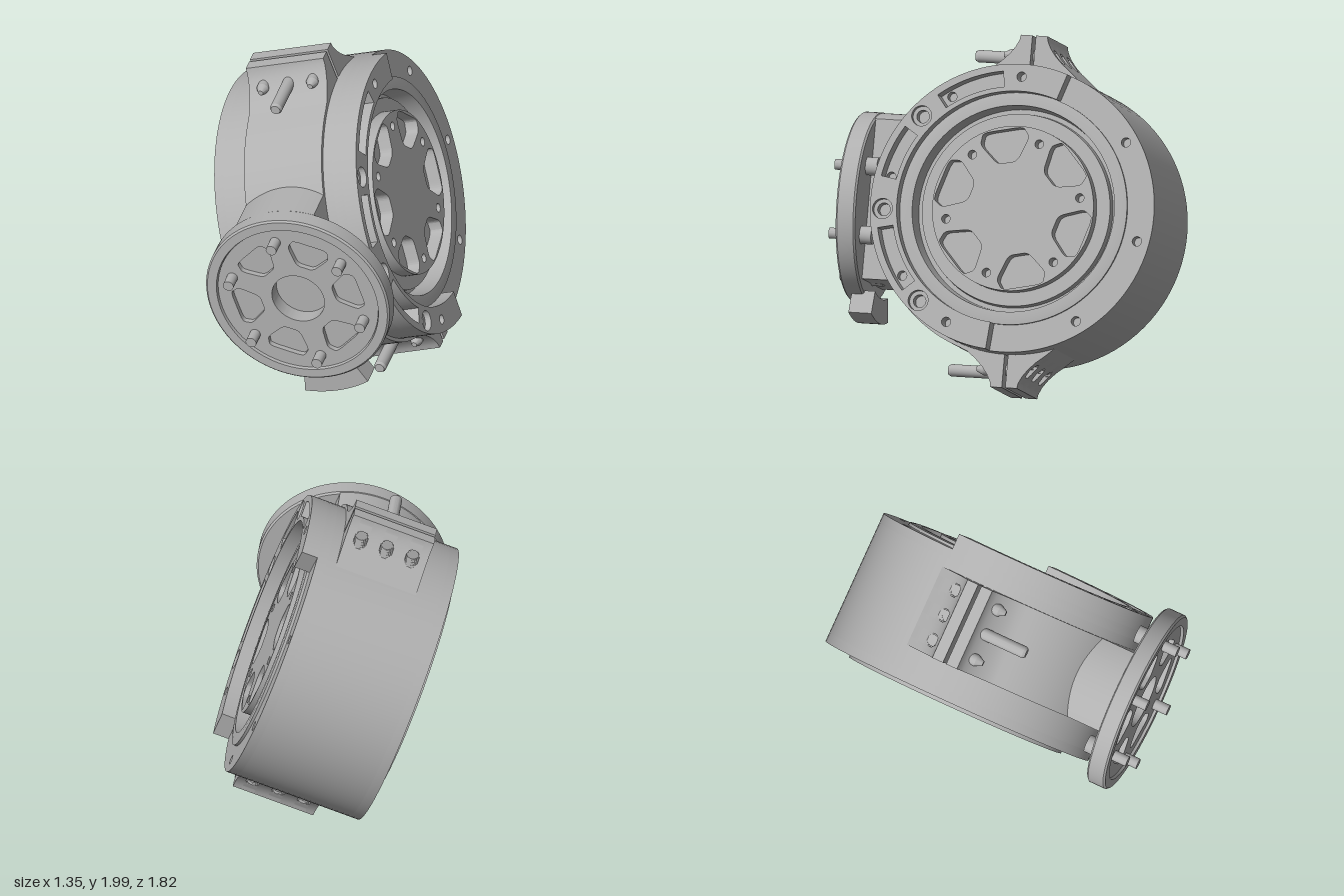
import * as THREE from 'three';
import { toCreasedNormals } from 'three/addons/utils/BufferGeometryUtils.js';

const rad = THREE.MathUtils.degToRad;
const metal = new THREE.MeshStandardMaterial({ color: 0xb0b0b0 });
metal.name = 'grey metal';

function add(parent, name, geometry) {
  const mesh = new THREE.Mesh(toCreasedNormals(geometry, 0.5), metal);
  mesh.name = name;
  parent.add(mesh);
}

// Extrude along z from z0 to z1
function slab(shape, z0, z1) {
  const g = new THREE.ExtrudeGeometry(shape, { depth: z1 - z0, bevelEnabled: false, curveSegments: 48 });
  return g.translate(0, 0, z0);
}

// Extrude along x from x0 to x1; the shape's x becomes z, its y stays y
function sideSlab(shape, x0, x1) {
  return slab(shape, -x1, -x0).rotateY(-Math.PI / 2);
}

function disc(r, holes = []) {
  const s = new THREE.Shape().absarc(0, 0, r, 0, Math.PI * 2, false);
  s.holes.push(...holes);
  return s;
}

function hole(r, at = 0, deg = 0) {
  const a = rad(deg);
  return new THREE.Path().absarc(at * Math.cos(a), at * Math.sin(a), r, 0, Math.PI * 2, true);
}

// Ring sector between two angles in degrees
function sector(r0, r1, a0, a1, Kind = THREE.Shape) {
  return new Kind()
    .absarc(0, 0, r1, rad(a0), rad(a1), false)
    .absarc(0, 0, r0, rad(a1), rad(a0), true)
    .closePath();
}

// Rounded trapezoid pocket pointing along an angle
function pocket(deg, k) {
  const corners = [[0.255, -0.055], [0.375, -0.138], [0.438, -0.115], [0.438, 0.115], [0.375, 0.138], [0.255, 0.055]]
    .map(([x, y]) => new THREE.Vector2(x * k, y * k).rotateAround(new THREE.Vector2(), rad(deg)));
  const path = new THREE.Path();
  corners.forEach((c, i) => {
    const before = c.clone().lerp(corners[(i + 5) % 6], 0.25);
    const after = c.clone().lerp(corners[(i + 1) % 6], 0.25);
    if (i) path.lineTo(before.x, before.y); else path.moveTo(before.x, before.y);
    path.quadraticCurveTo(c.x, c.y, after.x, after.y);
  });
  return path.closePath();
}

function pin(parent, name, r, x, y, z0, z1, tip = r) {
  const g = new THREE.CylinderGeometry(tip, r, z1 - z0, 24).rotateX(Math.PI / 2);
  add(parent, name, g.translate(x, y, (z0 + z1) / 2));
}

const six = [0, 60, 120, 180, 240, 300];
const FLANGE = 0.973, WIDTH = 0.235, BOLT_Y = 0.868;
// Clamp flare: distance from the split plane, height
const flare = [[0.075, FLANGE], [0.08, 0.945], [0.1, 0.905], [0.13, 0.865], [0.17, 0.825], [0.22, 0.785], [0.31, 0.705]];

function buildDrum(g) {
  // Turned housing with raised back lid and stepped groove at the output
  const profile = [[0, -0.45], [0.637, -0.45], [0.637, -0.37], [0.79, -0.37], [0.79, 0.29], [0.64, 0.29],
    [0.64, 0.36], [0.61, 0.365], [0.57, 0.365], [0.56, 0.25], [0.535, 0.25], [0.53, 0.3], [0, 0.3]];
  const body = new THREE.LatheGeometry(profile.map(p => new THREE.Vector2(...p)), 96);
  add(g, 'drumHousing', body.rotateZ(-Math.PI / 2));

  const boltAngles = [11, 56, 101, 146, 191, 236, 281, 326];
  const rim = () => disc(0.79, [hole(0.637), ...boltAngles.map(a => hole(0.026, 0.72, a))]);
  add(g, 'backRim', sideSlab(rim(), -0.425, -0.37));
  add(g, 'outputRim', sideSlab(rim(), 0.29, 0.345));

  // Output rotor with six pockets and six bolt holes
  const rotor = disc(0.455, six.flatMap(a => [pocket(a + 18, 1), hole(0.024, 0.38, a + 48)]));
  add(g, 'rotor', sideSlab(rotor, 0.29, 0.375));

  // Half ring with slots and counterbored bolts
  const arc = sector(0.64, 0.79, -85, 109);
  const slots = [[52, 82], [10, 33], [-41, -12]];
  arc.holes.push(...slots.map(([a, b]) => sector(0.665, 0.752, a, b, THREE.Path)));
  arc.holes.push(...[41, -4, -49].map(a => hole(0.056, 0.72, a)));
  arc.holes.push(...[90, -65].map(a => hole(0.026, 0.72, a)));
  add(g, 'halfRing', sideSlab(arc, 0.345, 0.435));
  for (const a of [41, -4, -49]) {
    const seat = sideSlab(disc(0.056, [hole(0.035)]), 0.345, 0.4);
    add(g, 'boltSeat', seat.translate(0, 0.72 * Math.sin(rad(a)), 0.72 * Math.cos(rad(a))));
  }
}

function buildStrap(g) {
  // Front strap: flanges, flares and wrap in one mirrored section
  const half = [[0.01, 0.6], [0.01, FLANGE], ...flare.slice(0, 6)];
  for (let a = 71; a > 0; a -= 3) half.push([0.81 * Math.cos(rad(a)), 0.81 * Math.sin(rad(a))]);
  const outline = [...half, ...half.map(([z, y]) => [z, -y]).reverse()];
  const shape = new THREE.Shape(outline.map(p => new THREE.Vector2(...p)));
  add(g, 'frontStrap', sideSlab(shape, -WIDTH, WIDTH));

  // Neck joining strap and disc, rounded on top flush with the disc edge
  const neckAngle = Math.acos(WIDTH / 0.52);
  const neck = new THREE.Shape()
    .moveTo(-WIDTH, -0.42)
    .lineTo(WIDTH, -0.42)
    .absarc(0, 0, 0.52, neckAngle, Math.PI - neckAngle, false)
    .closePath();
  add(g, 'neck', slab(neck, 0.58, 0.855));
}

// Solid under the rear flare from a base height, up to the given section
function rearStrip(g, section, base, x0, x1, side) {
  const pts = [...section, [section.at(-1)[0], base], [section[0][0], base]];
  const shape = new THREE.Shape(pts.map(([d, y]) => new THREE.Vector2(-d, y * side)));
  add(g, 'rearFlare', sideSlab(shape, x0, x1));
}

function buildRearClamp(g, side) {
  // Flange plate
  const flange = new THREE.BoxGeometry(WIDTH * 2, 0.3, 0.065);
  add(g, 'rearFlange', flange.translate(0, side * (FLANGE - 0.15), -0.0425));

  // Ramp built in strips so that the three bolt holes stay open
  const r = 0.037, n = 10;
  const fine = [];
  for (let i = 0; i < flare.length - 1; i++) {
    for (let k = 0; k < 6; k++) {
      fine.push(flare[i].map((v, j) => THREE.MathUtils.lerp(v, flare[i + 1][j], k / 6)));
    }
  }
  fine.push(flare.at(-1));
  [[-WIDTH, -0.15 - r], [-0.15 + r, -r], [r, 0.15 - r], [0.15 + r, WIDTH]]
    .forEach(([a, b]) => rearStrip(g, flare, 0.6, a, b, side));
  for (const cx of [-0.15, 0, 0.15]) {
    for (let i = 0; i < n; i++) {
      const x0 = -r + (2 * r * i) / n, x1 = x0 + (2 * r) / n, mid = (x0 + x1) / 2;
      const h = Math.sqrt(r * r - mid * mid);
      const lower = fine.map(([d, y]) => [d, Math.min(y, BOLT_Y - h)]);
      const upper = fine.filter(p => p[1] > BOLT_Y + h);
      rearStrip(g, lower, 0.6, cx + x0, cx + x1, side);
      if (upper.length > 1) rearStrip(g, upper, BOLT_Y + h, cx + x0, cx + x1, side);
    }
  }

  // Clamp screws showing on the front side
  pin(g, 'clampScrew', 0.034, 0, side * BOLT_Y, 0, 0.36);
  pin(g, 'clampScrewTip', 0.034, 0, side * BOLT_Y, 0.36, 0.375, 0.026);
  for (const x of [-0.15, 0.15]) {
    pin(g, 'sideScrew', 0.034, x, side * BOLT_Y, 0, 0.14);
    pin(g, 'sideScrewTip', 0.034, x, side * BOLT_Y, 0.14, 0.18, 0.014);
  }
}

function buildFrontPlate(g) {
  // Mounting disc with softened rim, pockets and centre bore
  const rim = [[0.455, 0.85], [0.513, 0.85], [0.523, 0.86], [0.523, 0.95], [0.513, 0.96], [0.462, 0.96], [0.455, 0.93]];
  const ring = new THREE.LatheGeometry(rim.map(p => new THREE.Vector2(...p)), 96);
  add(g, 'plateRim', ring.rotateX(Math.PI / 2));
  add(g, 'plateBase', slab(disc(0.46, [hole(0.15)]), 0.85, 0.915));
  const face = disc(0.456, [hole(0.15), ...six.map(a => pocket(a, 0.85))]);
  add(g, 'plateFace', slab(face, 0.915, 0.945));
  for (const a of six) {
    const x = 0.38 * Math.cos(rad(a - 30)), y = 0.38 * Math.sin(rad(a - 30));
    pin(g, 'plateScrew', 0.03, x, y, 0.86, 1.03);
    pin(g, 'screwHead', 0.05, x, y, 0.785, 0.86);
  }
  // Curved stop block under the disc
  add(g, 'stopBlock', slab(sector(0.5, 0.635, -107, -72), 0.79, 0.92));
}

export function createModel() {
  const model = new THREE.Group();
  model.name = 'jointActuator';
  const tilted = new THREE.Group();
  tilted.name = 'tiltedAssembly';
  tilted.position.set(-0.007, 1.005, -0.12);
  tilted.rotation.z = rad(20);
  model.add(tilted);

  buildDrum(tilted);
  buildStrap(tilted);
  for (const side of [1, -1]) buildRearClamp(tilted, side);
  buildFrontPlate(tilted);
  return model;
}
